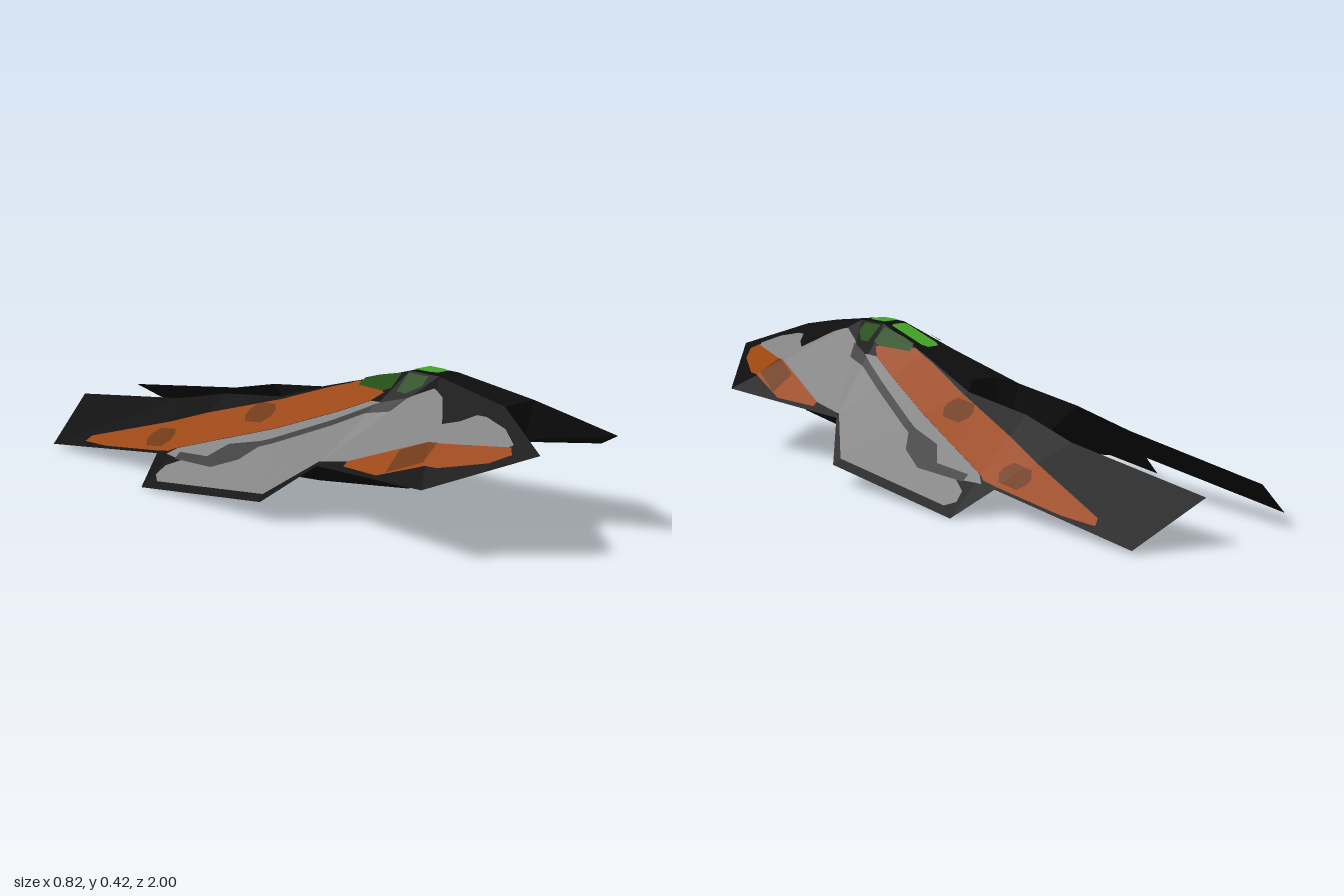
import * as THREE from 'three';

const material = (name, color, side = THREE.FrontSide) => {
  const m = new THREE.MeshStandardMaterial({ color, side });
  m.name = name;
  return m;
};

// Hull corner points of the left half (x, y, z)
const P = {
  // upper deck, centre line to outer edge
  m0: [0, .375, .79], n: [.06, .375, .79], tip: [.16, .295, 1], c: [.37, .2, .78],
  m1: [0, .415, .53], k1: [.04, .415, .53], m2: [0, .415, .42], k2: [.04, .415, .42],
  w: [.305, .168, .32], m3: [0, .35, .2], r: [.06, .35, .2],
  a: [.41, .06, .2], d: [.41, 0, -.33], j: [.3, .075, -.39],
  m4: [0, .295, 0], p: [.04, .295, 0], s: [.1, .275, -.05], u: [.1, .245, -.3],
  v: [.115, .2, -.5], x: [.11, .135, -1], y: [.3, .01, -.92],
  // underside
  b0: [0, .26, .76], b1: [.06, .26, .76], i0: [0, .225, .63], i1: [.1, .225, .63],
  i2: [.21, .215, .63], e0: [0, .14, .59], e1: [.09, .14, .59], e2: [.22, .14, .59],
  f0: [0, .1, .25], f1: [.09, .1, .25], f2: [.23, .1, .25],
  g0: [0, .1, 0], g1: [.09, .095, 0], h1: [.1, .093, -.12], h2: [.21, .065, -.15],
  q: [.27, .12, .05],
};

// Turns 'a b c d, ...' into triangles of points
const faces = (text) => text.split(',').flatMap((f) => {
  const k = f.trim().split(' ').map((id) => P[id]);
  return k.slice(2).map((_, i) => [k[0], k[i + 1], k[i + 2]]);
});

const deckParts = {
  spineDeck: faces('m0 n k1 m1, m1 k1 k2 m2, m2 k2 r m3, m3 r p m4, r s p'),
  noseDeck: faces('n tip c, n c k1, k1 c w, k1 w k2, k2 w r'),
  wingDeck: faces('w a r, r a s, a d s, s d u, d j u'),
  tailFin: faces('u j v, j y v, v y x'),
};
const underParts = {
  noseUnderside: faces('m0 n b1 b0, n tip b1, tip c b1, b1 i1 c, i1 i2 c, b0 b1 i1 i0, i2 c w'),
  intakeWall: faces('i0 i1 e1 e0, i1 i2 e2 e1, i2 w e2, w f2 e2'),
  belly: faces('e0 e1 f1 f0, e1 e2 f2 f1, f0 f1 g1 g0, f1 f2 h2 h1, f1 h1 g1'),
  wingUnderside: faces('w a q, w q f2, f2 q h2, a d q, d j q, q j h2'),
  sternWall: faces('g0 g1 p m4, g1 h1 s p, h1 u s, h1 h2 j u'),
};

// Mesh from triangles; dir 1 / -1 turns all faces up / down
function triMesh(name, tris, mat, dir = 1) {
  const pos = [];
  for (const [a, b, c] of tris) {
    const ny = (b[2] - a[2]) * (c[0] - a[0]) - (b[0] - a[0]) * (c[2] - a[2]);
    pos.push(...a, ...(ny * dir >= 0 ? [...b, ...c] : [...c, ...b]));
  }
  const g = new THREE.BufferGeometry();
  g.setAttribute('position', new THREE.Float32BufferAttribute(pos, 3));
  g.computeVertexNormals();
  const mesh = new THREE.Mesh(g, mat);
  mesh.name = name;
  return mesh;
}

const cross = (a, b, p) => (b[0] - a[0]) * (p[1] - a[1]) - (b[1] - a[1]) * (p[0] - a[0]);

// Lays a flat (x, z) outline over the hull triangles as a painted panel
function drape(name, outline, surface, lift, mat) {
  const out = [];
  for (const tri of surface) {
    let t = tri.map((v) => [v[0], v[2]]);
    const area = cross(t[0], t[1], t[2]);
    if (Math.abs(area) < 1e-7) continue;
    const height = (p) => (cross(t[1], t[2], p) * tri[0][1] + cross(t[2], t[0], p) * tri[1][1]
      + cross(t[0], t[1], p) * tri[2][1]) / area + lift;
    let poly = outline;
    for (let e = 0; e < 3; e++) {
      const dist = (p) => cross(t[e], t[(e + 1) % 3], p) * Math.sign(area);
      const next = [];
      poly.forEach((p, i) => {
        const q = poly[(i + 1) % poly.length], dp = dist(p), dq = dist(q);
        if (dp >= 0) next.push(p);
        if ((dp >= 0) !== (dq >= 0)) {
          const f = dp / (dp - dq);
          next.push([p[0] + (q[0] - p[0]) * f, p[1] + (q[1] - p[1]) * f]);
        }
      });
      poly = next;
    }
    if (poly.length < 3) continue;
    const ids = THREE.ShapeUtils.triangulateShape(poly.map((p) => new THREE.Vector2(...p)), []);
    for (const id of ids) out.push(id.map((i) => [poly[i][0], height(poly[i]), poly[i][1]]));
  }
  return triMesh(name, out, mat, Math.sign(lift));
}

// Rectangle with cut corners
const cutBox = (x0, x1, z0, z1, k) => [[x0 + k, z0], [x1 - k, z0], [x1, z0 + k], [x1, z1 - k],
  [x1 - k, z1], [x0 + k, z1], [x0, z1 - k], [x0, z0 + k]];

export function createModel() {
  const black = material('hull black', 0x0d0d0d, THREE.DoubleSide);
  const grey = material('panel grey', 0x828282);
  const darkGrey = material('trim dark grey', 0x3e3e3e);
  const orange = material('stripe orange', 0x9a4510);
  const brown = material('patch brown', 0x6e3710);
  const green = material('canopy green', 0x46a428);
  const darkGreen = material('window dark green', 0x204a10);
  const glow = material('thruster pale green', 0x5c7d69);

  const deck = Object.values(deckParts).flat();

  function half(name) {
    const g = new THREE.Group();
    g.name = name;
    for (const [n, t] of Object.entries(deckParts)) g.add(triMesh(n, t, black));
    for (const [n, t] of Object.entries(underParts)) g.add(triMesh(n, t, black, -1));
    const paint = (n, outline, lift, mat) => g.add(drape(n, outline, deck, lift, mat));

    // broad armour panel over nose and wing
    paint('armourPanel', [[.11, .77], [.125, .85], [.16, .91], [.175, .9], [.23, .72], [.295, .45],
      [.295, .32], [.39, .19], [.39, -.28], [.37, -.31], [.34, -.3], [.32, -.25], [.305, -.34],
      [.285, -.31], [.125, .35], [.135, .42], [.1, .49], [.08, .55], [.1, .6], [.175, .67],
      [.15, .71], [.115, .74]], .003, grey);
    // orange stripes
    paint('noseStripe', [[.31, .43], [.335, .58], [.3, .77], [.235, .89], [.19, .93], [.17, .91],
      [.23, .72], [.295, .43]], .004, orange);
    paint('finStripe', [[.265, -.76], [.285, -.77], [.295, -.65], [.296, -.34], [.285, -.31],
      [.125, .35], [.105, .38], [.085, .35], [.06, .24], [.075, .14]], .004, orange);
    // dark trim line with the wider block at its rear
    paint('trimLine', [[.11, .48], [.15, .45], [.168, .36], [.262, .03], [.305, -.01], [.335, -.1],
      [.322, -.28], [.3, -.28], [.305, -.15], [.262, -.1], [.245, .02], [.148, .36], [.13, .41]],
    .007, darkGrey);
    // brown patches on the stripes
    paint('stripePatchFront', cutBox(.13, .19, -.13, -.02, .02), .007, brown);
    paint('stripePatchRear', cutBox(.225, .285, -.48, -.37, .02), .007, brown);
    paint('nosePatch', [[.265, .6], [.33, .61], [.3, .72], [.235, .71]], .007, brown);
    // canopy glass
    paint('canopyRear', [[0, .23], [.02, .23], [.03, .25], [.03, .39], [.02, .4], [0, .4]], .005, green);
    paint('canopyFront', [[0, .43], [.03, .43], [.03, .49], [.02, .51], [0, .51]], .005, green);
    paint('sideWindowRear', [[.05, .26], [.075, .25], [.1, .37], [.095, .4], [.05, .4]], .006, darkGreen);
    paint('sideWindowFront', [[.05, .425], [.1, .425], [.1, .46], [.075, .5], [.05, .5]], .006, darkGreen);

    // thruster plate under the belly
    g.add(drape('thrusterPlate', cutBox(.1, .16, -.09, .09, .018), underParts.belly, -.004, glow));

    // air intake on the forward wall
    const intake = new THREE.Mesh(new THREE.CylinderGeometry(.037, .037, .008, 8), darkGrey);
    intake.name = 'airIntake';
    intake.position.set(.152, .18, .613);
    intake.rotation.set(Math.PI / 2 + Math.atan2(.04, .08), 0, 0);
    g.add(intake);
    return g;
  }

  const model = new THREE.Group();
  model.name = 'spacecraft';
  const right = half('rightHalf');
  right.scale.x = -1;
  model.add(half('leftHalf'), right);
  return model;
}
